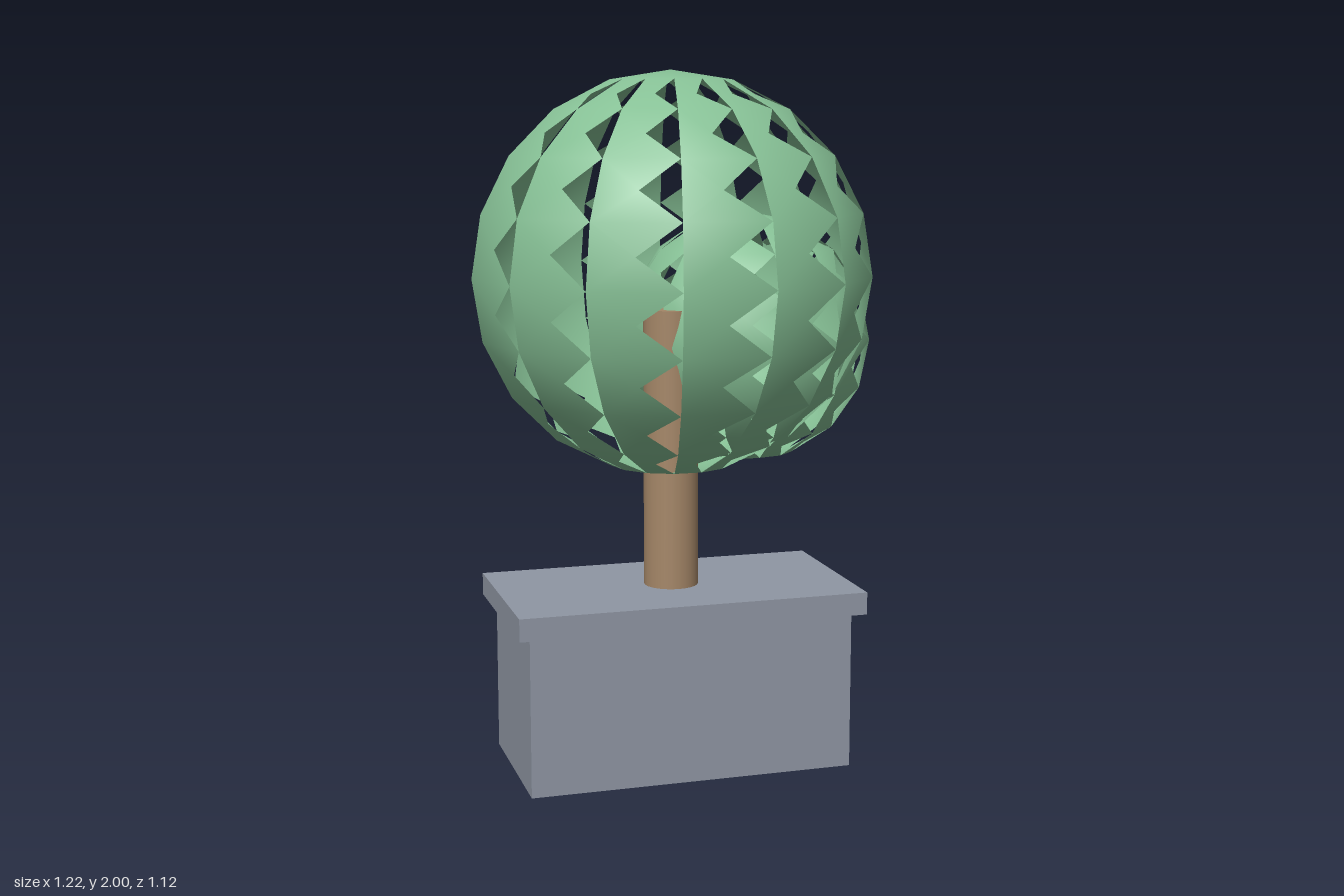
import * as THREE from 'three';

const leafMaterial = new THREE.MeshStandardMaterial({ color: 0x86c095, side: THREE.DoubleSide });
const barkMaterial = new THREE.MeshStandardMaterial({ color: 0xa58768 });
const stoneMaterial = new THREE.MeshStandardMaterial({ color: 0x8f96a3 });

// Ball of foliage: closed caps at the poles; every other cell is split around
// its centre and loses one quarter, which leaves a sawtooth edge on each gore.
function foliageGeometry(radius, segments, rows) {
  const positions = [];
  const normals = [];
  const point = (col, row) => new THREE.Vector3().setFromSphericalCoords(
    radius, (row / rows) * Math.PI, (col / segments) * Math.PI * 2 + Math.PI / 2);
  const addTriangle = (...corners) => {
    for (const p of corners) {
      const n = p.clone().normalize();
      positions.push(p.x, p.y, p.z);
      normals.push(n.x, n.y, n.z);
    }
  };

  for (let row = 0; row < rows; row++) {
    for (let col = 0; col < segments; col++) {
      const topLeft = point(col, row);
      const topRight = point(col + 1, row);
      const lowLeft = point(col, row + 1);
      const lowRight = point(col + 1, row + 1);
      if (row === 0) {
        addTriangle(topLeft, lowLeft, lowRight);
      } else if (row === rows - 1) {
        addTriangle(topLeft, lowLeft, topRight);
      } else {
        const centre = topLeft.clone().add(topRight).add(lowLeft).add(lowRight).multiplyScalar(0.25);
        addTriangle(topRight, topLeft, centre);
        addTriangle(topLeft, lowLeft, centre);
        addTriangle(lowLeft, lowRight, centre);
      }
    }
  }

  const geometry = new THREE.BufferGeometry();
  geometry.setAttribute('position', new THREE.Float32BufferAttribute(positions, 3));
  geometry.setAttribute('normal', new THREE.Float32BufferAttribute(normals, 3));
  return geometry;
}

export function createModel() {
  const model = new THREE.Group();
  model.name = 'pottedTree';

  const add = (name, geometry, material, x, y, z) => {
    const mesh = new THREE.Mesh(geometry, material);
    mesh.name = name;
    mesh.position.set(x, y, z);
    model.add(mesh);
  };

  const axis = -0.036; // planter, trunk and crown share this x

  // Planter with an overhanging slab
  add('planterBox', new THREE.BoxGeometry(0.945, 0.46, 0.475), stoneMaterial, axis, 0.23, 0);
  add('planterSlab', new THREE.BoxGeometry(1.015, 0.065, 0.54), stoneMaterial, axis, 0.4925, 0);

  // Trunk, ending inside the crown
  add('trunk', new THREE.CylinderGeometry(0.079, 0.079, 0.81, 24), barkMaterial, axis, 0.925, 0);

  // Large crown and the smaller clump behind its left side
  add('crown', foliageGeometry(0.573, 14, 10), leafMaterial, axis, 1.428, 0);
  add('sideClump', foliageGeometry(0.371, 12, 8), leafMaterial, 0.235, 1.225, -0.14);

  return model;
}
